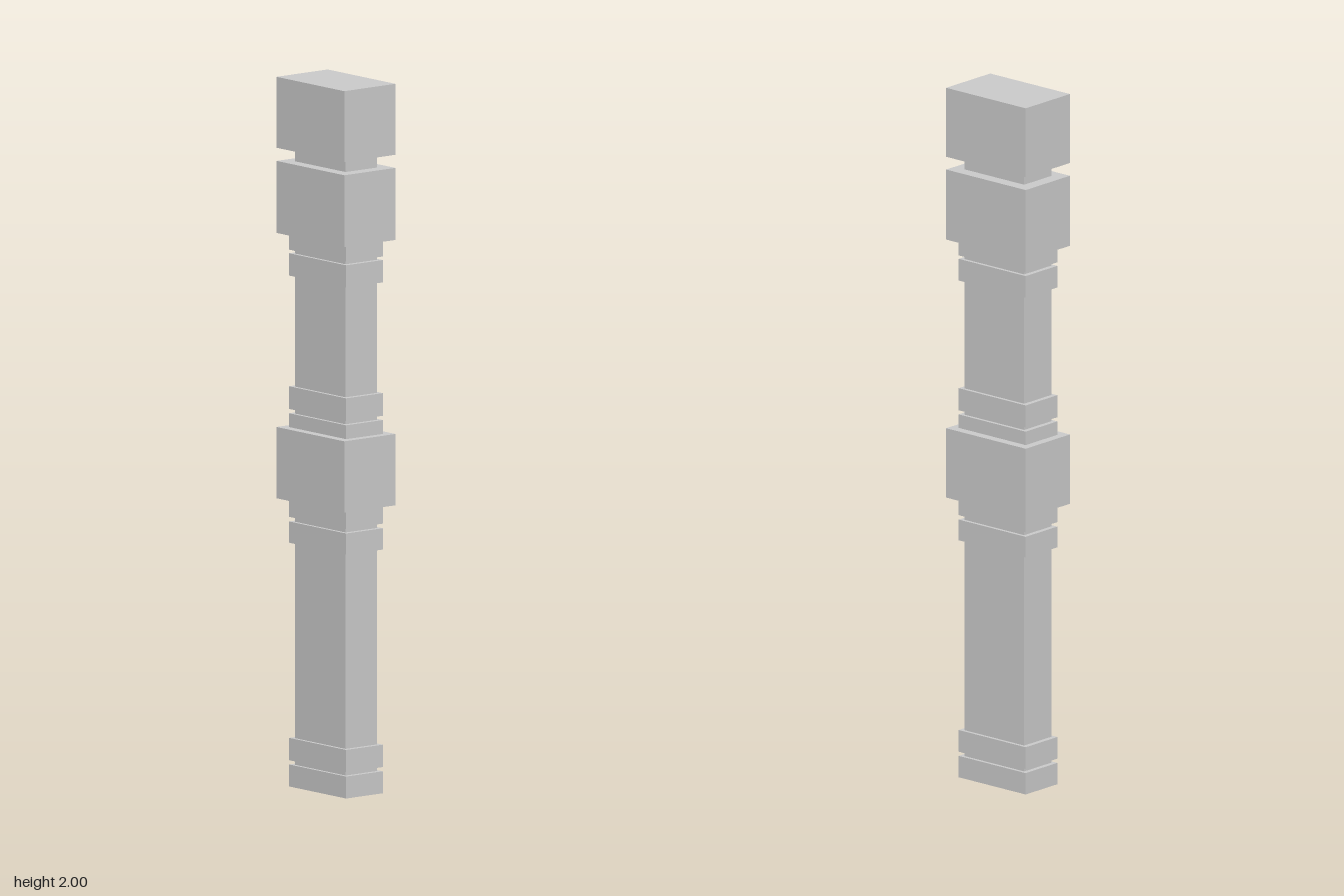
import * as THREE from 'three';

const material = new THREE.MeshStandardMaterial({ color: 0xcccccc, flatShading: true });
const openMaterial = new THREE.MeshStandardMaterial({
  color: 0xcccccc, flatShading: true, side: THREE.DoubleSide,
});

// Cross-sections as full width (x) and depth (z)
const SHAFT = [0.113, 0.221];
const BAND = [0.132, 0.249];
const BLOCK = [0.184, 0.296];

// A rectangular section of the post between two heights
function section(name, [width, depth], bottom, top) {
  const geometry = new THREE.BoxGeometry(width, top - bottom, depth);
  const mesh = new THREE.Mesh(geometry, material);
  mesh.name = name;
  mesh.position.y = (bottom + top) / 2;
  return mesh;
}

export function createModel() {
  const post = new THREE.Group();
  post.name = 'post';

  // Foot: a hollow band, open underneath
  const foot = section('foot', BAND, 0, 0.062);
  const index = Array.from(foot.geometry.index.array);
  index.splice(18, 6); // drop the bottom face
  foot.geometry.setIndex(index);
  foot.geometry.clearGroups();
  foot.material = openMaterial;
  post.add(foot);

  // Core shaft, showing between the bands as narrow grooves
  post.add(section('shaft', SHAFT, 0.062, 1.8));

  // Trim bands and collars
  const bands = [
    ['baseBand', 0.074, 0.137],
    ['lowerBand', 0.687, 0.747],
    ['lowerCollar', 0.76, 0.812],
    ['middleCollar', 1.013, 1.052],
    ['middleBand', 1.064, 1.128],
    ['upperBand', 1.44, 1.503],
    ['upperCollar', 1.513, 1.56],
  ];
  for (const [name, bottom, top] of bands) post.add(section(name, BAND, bottom, top));

  // Wide blocks and cap
  const blocks = [
    ['middleBlock', 0.812, 1.013],
    ['upperBlock', 1.56, 1.763],
    ['cap', 1.8, 2],
  ];
  for (const [name, bottom, top] of blocks) post.add(section(name, BLOCK, bottom, top));

  return post;
}
